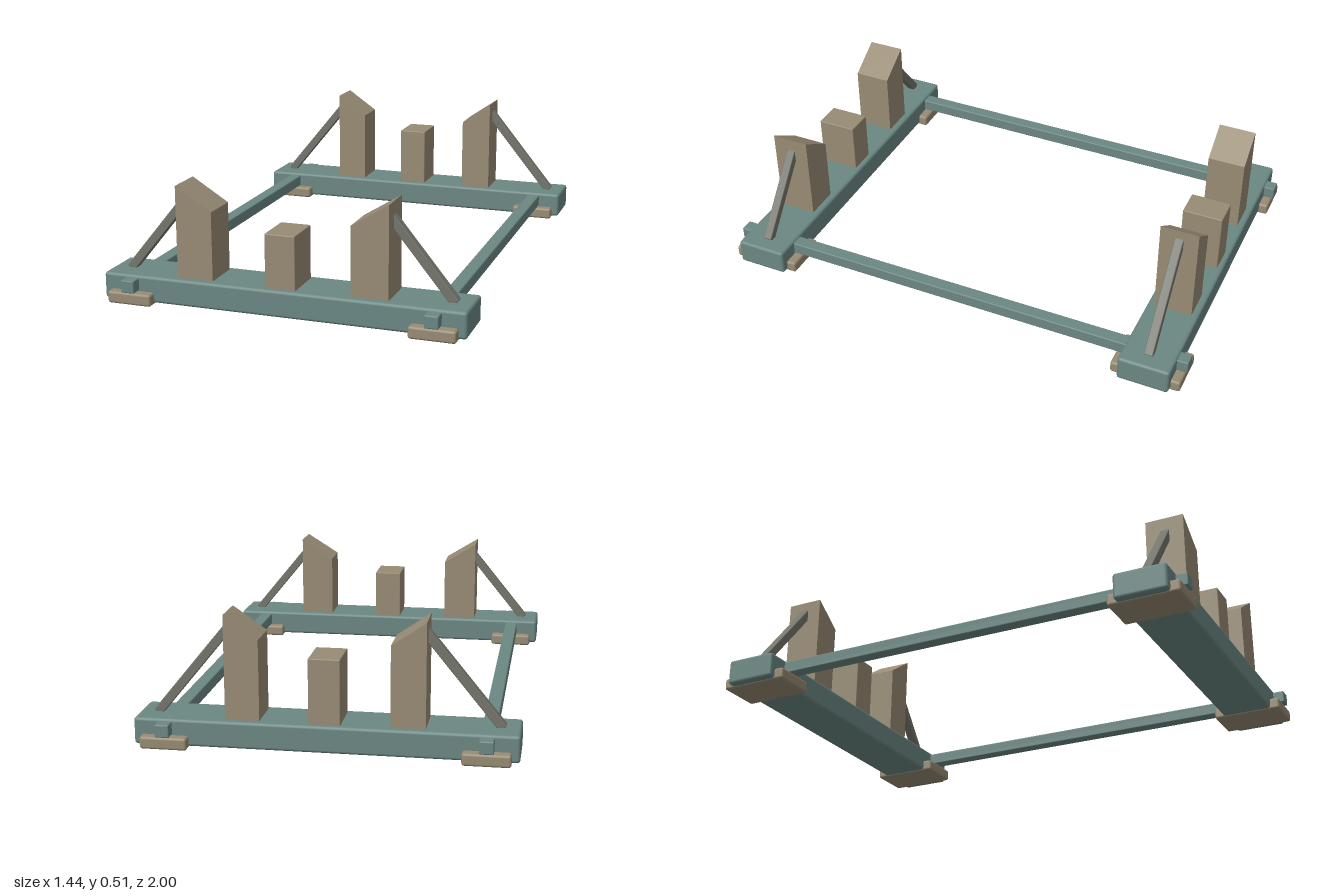
import * as THREE from 'three';
import { RoundedBoxGeometry } from 'three/addons/geometries/RoundedBoxGeometry.js';

const mat = (name, color) => {
  const m = new THREE.MeshStandardMaterial({ color });
  m.name = name;
  return m;
};

export function createModel() {
  const teal = mat('teal paint', 0x6b8783);
  const tan = mat('tan wood', 0x978b74);
  const grey = mat('grey metal', 0x74756c);
  const model = new THREE.Group();
  model.name = 'frame';

  const add = (parent, name, geometry, material, x = 0, y = 0, z = 0) => {
    const mesh = new THREE.Mesh(geometry, material);
    mesh.name = name;
    mesh.position.set(x, y, z);
    parent.add(mesh);
    return mesh;
  };
  // box with softened edges
  const softBox = (w, h, d, r) => new RoundedBoxGeometry(w, h, d, 2, r);

  // upright with a sloping top, taller on its outer side
  const wedge = (side, inner, outer, low, high, depth) => {
    const p = [[inner, 0.1], [outer, 0.1], [outer, high], [inner, low]];
    const shape = new THREE.Shape(p.map(([x, y]) => new THREE.Vector2(side * x, y)));
    const g = new THREE.ExtrudeGeometry(shape, { depth, bevelEnabled: false });
    return g.translate(0, 0, -depth / 2);
  };

  // long side rails
  for (const side of [-1, 1]) {
    add(model, side > 0 ? 'leftRail' : 'rightRail', softBox(0.054, 0.05, 2, 0.005), teal, side * 0.6, 0.075, 0);
  }

  // the two cross beams with their uprights; the back set is taller and closer in
  const ends = [
    { name: 'front', z: 0.85, inner: 0.275, outer: 0.42, low: 0.38, high: 0.47, mid: 0.32, tip: [0.4, 0.415] },
    { name: 'back', z: -0.85, inner: 0.245, outer: 0.375, low: 0.42, high: 0.51, mid: 0.36, tip: [0.36, 0.464] },
  ];
  for (const e of ends) {
    const end = new THREE.Group();
    end.name = e.name + 'End';
    end.position.z = e.z;
    model.add(end);

    add(end, 'crossBeam', softBox(1.44, 0.104, 0.21, 0.012), teal, 0, 0.058, 0);
    add(end, 'centreBlock', softBox(0.12, e.mid - 0.1, 0.166, 0.004), tan, 0, (e.mid + 0.1) / 2, 0);

    for (const side of [-1, 1]) {
      add(end, 'footPad', softBox(0.18, 0.048, 0.285, 0.01), tan, side * 0.6, 0.024, 0);
      add(end, 'sideUpright', wedge(side, e.inner, e.outer, e.low, e.high, 0.155), tan);

      // diagonal brace from the beam end to the upright
      const foot = new THREE.Vector2(0.652, 0.107);
      const tip = new THREE.Vector2(...e.tip);
      const run = tip.clone().sub(foot);
      const brace = add(end, 'brace', softBox(0.035, run.length(), 0.036, 0.004), grey,
        side * (foot.x + tip.x) / 2, (foot.y + tip.y) / 2, 0);
      brace.rotation.z = side * Math.atan2(-run.x, run.y);
    }
  }
  return model;
}
